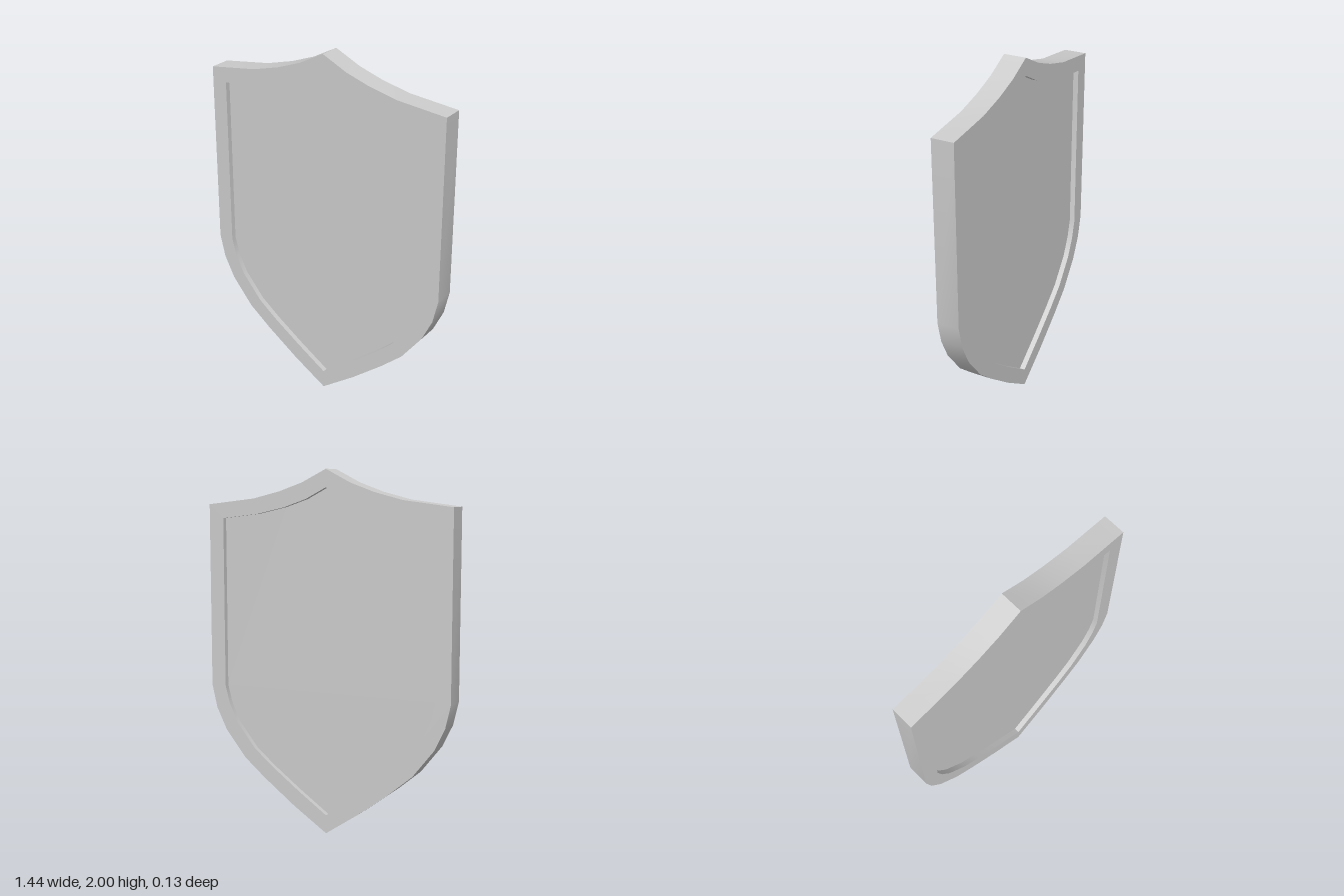
import * as THREE from 'three';
import { toCreasedNormals } from 'three/addons/utils/BufferGeometryUtils.js';

const THICKNESS = 0.126;
const RECESS = 0.03;

// Right half of each outline, from the bottom tip up to the top point
const OUTER = [
  [0, 0], [0.2, 0.135], [0.385, 0.275], [0.51, 0.38], [0.63, 0.532], [0.69, 0.655], [0.72, 0.785],
  [0.72, 1.806], [0.44, 1.84], [0.28, 1.88], [0.143, 1.928], [0, 2],
];
const INNER = [
  [0, 0.103], [0.17, 0.222], [0.335, 0.345], [0.445, 0.437], [0.557, 0.578], [0.607, 0.685], [0.633, 0.785],
  [0.633, 1.73], [0.42, 1.756], [0.25, 1.795], [0.12, 1.84], [0, 1.903],
];

// Full closed outline, counter-clockwise: the half plus its mirror
function outline(half) {
  const mirrored = half.slice(1, -1).reverse().map(([x, y]) => [-x, y]);
  return [...half, ...mirrored].map(([x, y]) => new THREE.Vector2(x, y));
}

// Plate centred on z = 0, smooth along the curves and sharp at the corners
function plate(name, shape, depth, material) {
  const geometry = new THREE.ExtrudeGeometry(shape, { depth, bevelEnabled: false });
  geometry.translate(0, 0, -depth / 2);
  const mesh = new THREE.Mesh(toCreasedNormals(geometry, 0.45), material);
  mesh.name = name;
  return mesh;
}

export function createModel() {
  const group = new THREE.Group();
  group.name = 'shield';
  const material = new THREE.MeshStandardMaterial({ color: 0xcccccc });

  // Raised border
  const rimShape = new THREE.Shape(outline(OUTER));
  rimShape.holes.push(new THREE.Path(outline(INNER)));
  group.add(plate('rim', rimShape, THICKNESS, material));

  // Panel set back on both faces
  const panelShape = new THREE.Shape(outline(INNER));
  group.add(plate('panel', panelShape, THICKNESS - 2 * RECESS, material));

  return group;
}
